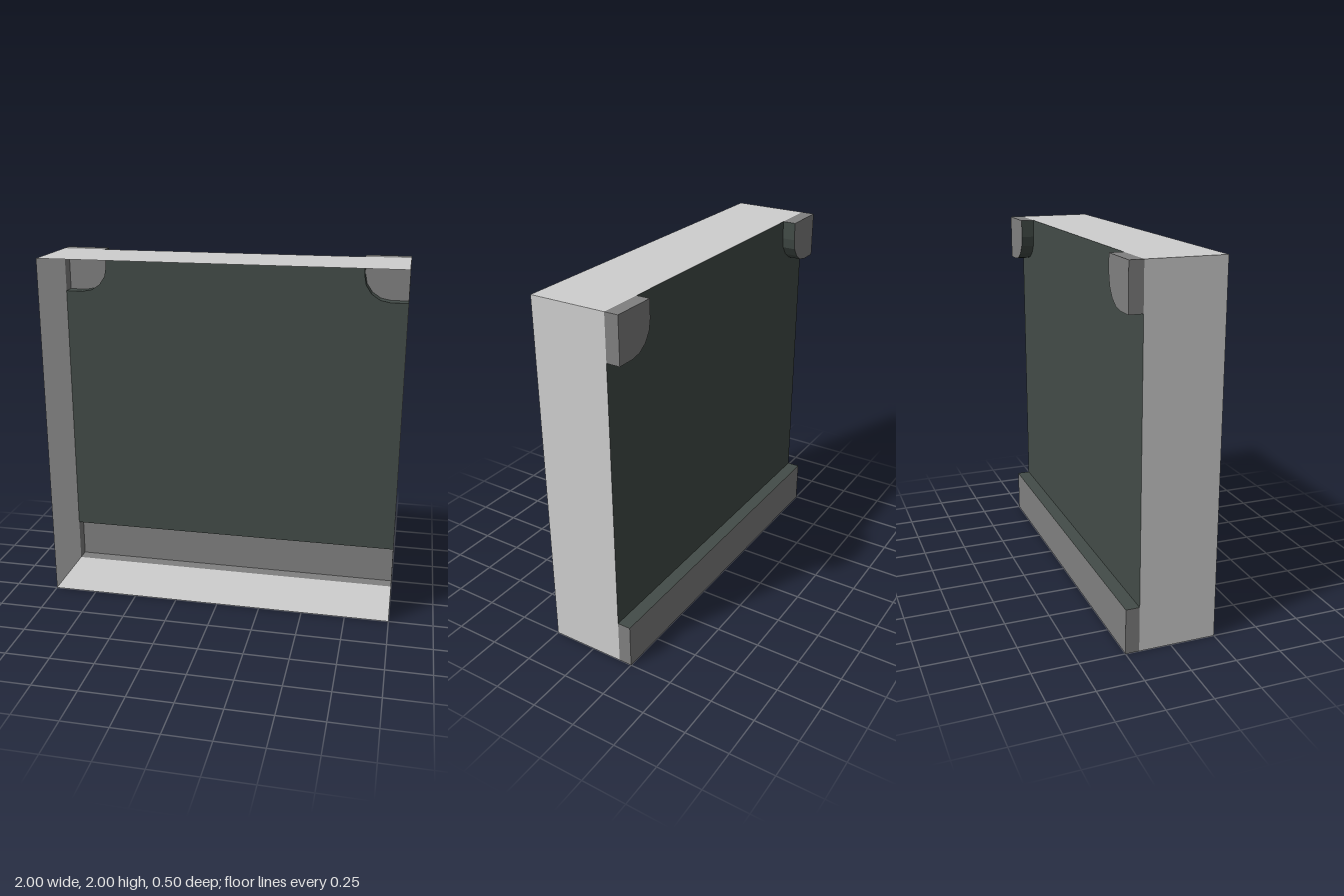
import * as THREE from 'three';

const FRONT = 0.25, PANEL = -0.175, BACK = -0.25;

const flat = (name, color) =>
  new THREE.MeshStandardMaterial({ name, color, side: THREE.DoubleSide, flatShading: true });

// Thin wall that follows an xy path and spans z0 to z1
function ribbon(path, z0, z1) {
  const pos = [];
  for (let i = 0; i < path.length - 1; i++) {
    const [ax, ay] = path[i], [bx, by] = path[i + 1];
    pos.push(ax, ay, z0, bx, by, z0, bx, by, z1, ax, ay, z0, bx, by, z1, ax, ay, z1);
  }
  const g = new THREE.BufferGeometry();
  g.setAttribute('position', new THREE.Float32BufferAttribute(pos, 3));
  g.computeVertexNormals();
  return g;
}

// Flat sheet with an xy outline at depth z
function sheet(outline, z) {
  const shape = new THREE.Shape(outline.map(([x, y]) => new THREE.Vector2(x, y)));
  return new THREE.ShapeGeometry(shape).translate(0, 0, z);
}

// Rounded inner edge of a top corner pocket, from the side wall to the top
function cornerEdge(side) {
  const pts = [[side, 1.75]];
  for (let i = 0; i <= 4; i++) {
    const a = (i / 4) * Math.PI / 2;
    pts.push([side * (0.9 - 0.15 * Math.sin(a)), 1.9 - 0.15 * Math.cos(a)]);
  }
  pts.push([side * 0.75, 2]);
  return pts;
}

export function createModel() {
  const group = new THREE.Group();
  const wall = flat('light grey', 0xcfcfcf);
  const pocket = flat('mid grey', 0x808080);
  const dark = flat('dark green grey', 0x434c48);
  const add = (name, geometry, material, parent = group) => {
    const mesh = new THREE.Mesh(geometry, material);
    mesh.name = name;
    parent.add(mesh);
  };

  // Open-fronted square frame
  add('frame', ribbon([[-1, 0], [1, 0], [1, 2], [-1, 2], [-1, 0]], PANEL, FRONT), wall);

  // Back panel with both top corners cut away
  const left = cornerEdge(1), right = cornerEdge(-1);
  add('backPanel', sheet([[-1, 0.25], [1, 0.25], ...left, ...right.slice().reverse()], PANEL), dark);

  // Recess along the bottom
  add('bottomRecessWalls', ribbon([[-1, 0.25], [-1, 0], [1, 0], [1, 0.25]], BACK, PANEL), pocket);
  add('bottomRecessBack', sheet([[-1, 0], [1, 0], [1, 0.25], [-1, 0.25]], BACK), pocket);
  add('bottomRecessLedge', ribbon([[-1, 0.25], [1, 0.25]], BACK, PANEL), dark);

  // Rounded pockets in the top corners
  for (const [side, edge, name] of [[1, left, 'leftCornerPocket'], [-1, right, 'rightCornerPocket']]) {
    const corner = new THREE.Group();
    corner.name = name;
    add('pocketWalls', ribbon([[side, 1.75], [side, 2], [side * 0.75, 2]], BACK, PANEL), pocket, corner);
    add('pocketBack', sheet([...edge, [side, 2]], BACK), pocket, corner);
    add('pocketLip', ribbon(edge, BACK, PANEL), dark, corner);
    group.add(corner);
  }
  return group;
}
